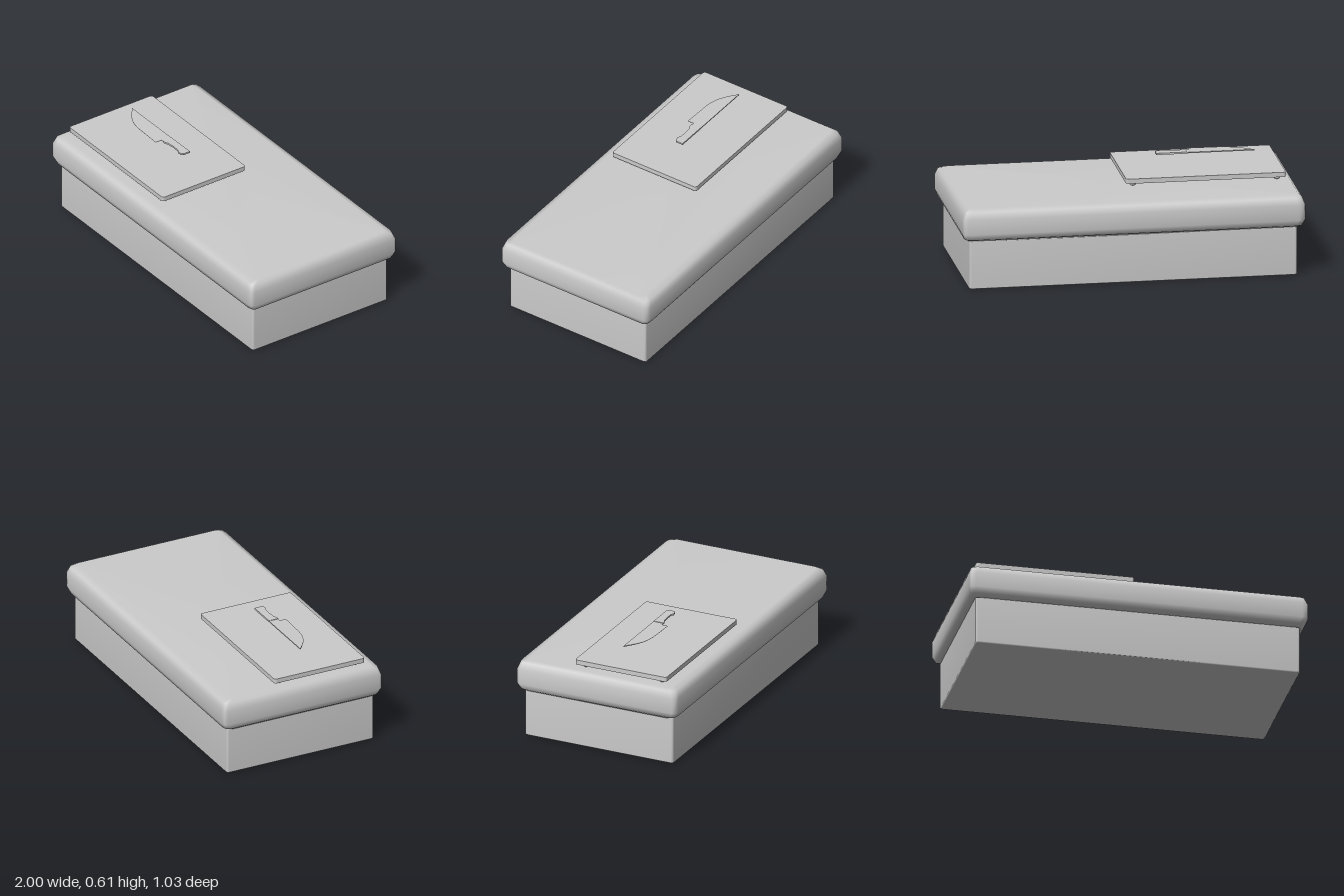
import * as THREE from 'three';

const grey = new THREE.MeshStandardMaterial({ color: 0xcccccc });

function addMesh(parent, name, geometry, x = 0, y = 0, z = 0) {
  const mesh = new THREE.Mesh(geometry, grey);
  mesh.name = name;
  mesh.position.set(x, y, z);
  parent.add(mesh);
  return mesh;
}

// Smooth block lofted through rings [y, halfX, halfZ] with cut corners and closed ends
function loftedBlock(rings, cornerX, cornerZ, segments = 2) {
  const positions = [], index = [];
  const n = 4 * (segments + 1);
  for (const [y, hx, hz] of rings) {
    for (let q = 0; q < 4; q++) {
      const sx = q === 0 || q === 3 ? 1 : -1, sz = q < 2 ? 1 : -1;
      for (let s = 0; s <= segments; s++) {
        const a = (q + s / segments) * Math.PI / 2;
        positions.push(
          sx * (hx - cornerX) + cornerX * Math.cos(a), y,
          sz * (hz - cornerZ) + cornerZ * Math.sin(a));
      }
    }
  }
  const last = rings.length - 1;
  for (let i = 0; i < last; i++) {
    for (let j = 0; j < n; j++) {
      const a = i * n + j, b = i * n + (j + 1) % n;
      index.push(a, a + n, b, b, a + n, b + n);
    }
  }
  const bottom = rings.length * n, top = bottom + 1;
  positions.push(0, rings[0][0], 0, 0, rings[last][0], 0);
  for (let j = 0; j < n; j++) {
    const k = (j + 1) % n;
    index.push(bottom, j, k, top, last * n + k, last * n + j);
  }
  const geometry = new THREE.BufferGeometry();
  geometry.setAttribute('position', new THREE.Float32BufferAttribute(positions, 3));
  geometry.setIndex(index);
  geometry.computeVertexNormals();
  return geometry;
}

// Flat plate: outline in x/z, centred on y = 0
function plate(shape, thickness) {
  const geometry = new THREE.ExtrudeGeometry(shape, { depth: thickness, bevelEnabled: false, curveSegments: 4 });
  return geometry.translate(0, 0, -thickness / 2).rotateX(Math.PI / 2);
}

function outline(points) {
  return new THREE.Shape(points.map(([x, z]) => new THREE.Vector2(x, z)));
}

function roundedRect(x0, z0, x1, z1, r) {
  const s = new THREE.Shape();
  s.absarc(x1 - r, z1 - r, r, 0, Math.PI / 2);
  s.absarc(x0 + r, z1 - r, r, Math.PI / 2, Math.PI);
  s.absarc(x0 + r, z0 + r, r, Math.PI, Math.PI * 1.5);
  s.absarc(x1 - r, z0 + r, r, Math.PI * 1.5, Math.PI * 2);
  return s;
}

export function createModel() {
  const model = new THREE.Group();
  model.name = 'kitchenIsland';

  // Cabinet body
  addMesh(model, 'cabinet', loftedBlock([
    [0, 0.95, 0.467], [0.005, 0.957, 0.476], [0.282, 0.957, 0.476], [0.287, 0.95, 0.467],
  ], 0.014, 0.014));

  // Thick worktop with bevelled rim
  addMesh(model, 'worktop', loftedBlock([
    [0.285, 0.965, 0.465], [0.3, 0.985, 0.5], [0.335, 1, 0.515],
    [0.425, 1, 0.515], [0.465, 0.985, 0.5], [0.479, 0.965, 0.462],
  ], 0.04, 0.025));

  // Cutting board on four feet
  const board = new THREE.Group();
  board.name = 'cuttingBoard';
  model.add(board);
  addMesh(board, 'boardPanel', plate(roundedRect(-0.942, -0.16, -0.01, 0.425, 0.015), 0.028), 0, 0.513, 0);
  const footProfile = [[0, 0], [0.013, 0], [0.016, 0.004], [0.017, 0.021]]
    .map(([r, y]) => new THREE.Vector2(r, y));
  for (const x of [-0.897, -0.056]) {
    for (const z of [-0.111, 0.379]) {
      addMesh(board, 'boardFoot', new THREE.LatheGeometry(footProfile, 16), x, 0.479, z);
    }
  }

  // Knife above the board
  const knife = new THREE.Group();
  knife.name = 'knife';
  model.add(knife);
  const handle = outline([
    [-0.405, 0.081], [-0.225, 0.081], [-0.225, 0.126], [-0.236, 0.136], [-0.26, 0.139],
    [-0.277, 0.129], [-0.32, 0.128], [-0.37, 0.132], [-0.385, 0.142], [-0.405, 0.143],
  ]);
  addMesh(knife, 'knifeHandle', plate(handle, 0.01), 0, 0.6, 0);

  // Blade thins from spine to cutting edge
  const blade = plate(outline([
    [-0.4, 0.081], [-0.798, 0.081], [-0.765, 0.109], [-0.73, 0.135], [-0.695, 0.155],
    [-0.65, 0.17], [-0.6, 0.177], [-0.423, 0.182], [-0.423, 0.142], [-0.4, 0.142],
  ]), 0.006);
  const p = blade.attributes.position;
  for (let i = 0; i < p.count; i++) {
    p.setY(i, p.getY(i) * (1 - 0.85 * (p.getZ(i) - 0.081) / 0.101));
  }
  blade.computeVertexNormals();
  addMesh(knife, 'knifeBlade', blade, 0, 0.6, 0);

  return model;
}
